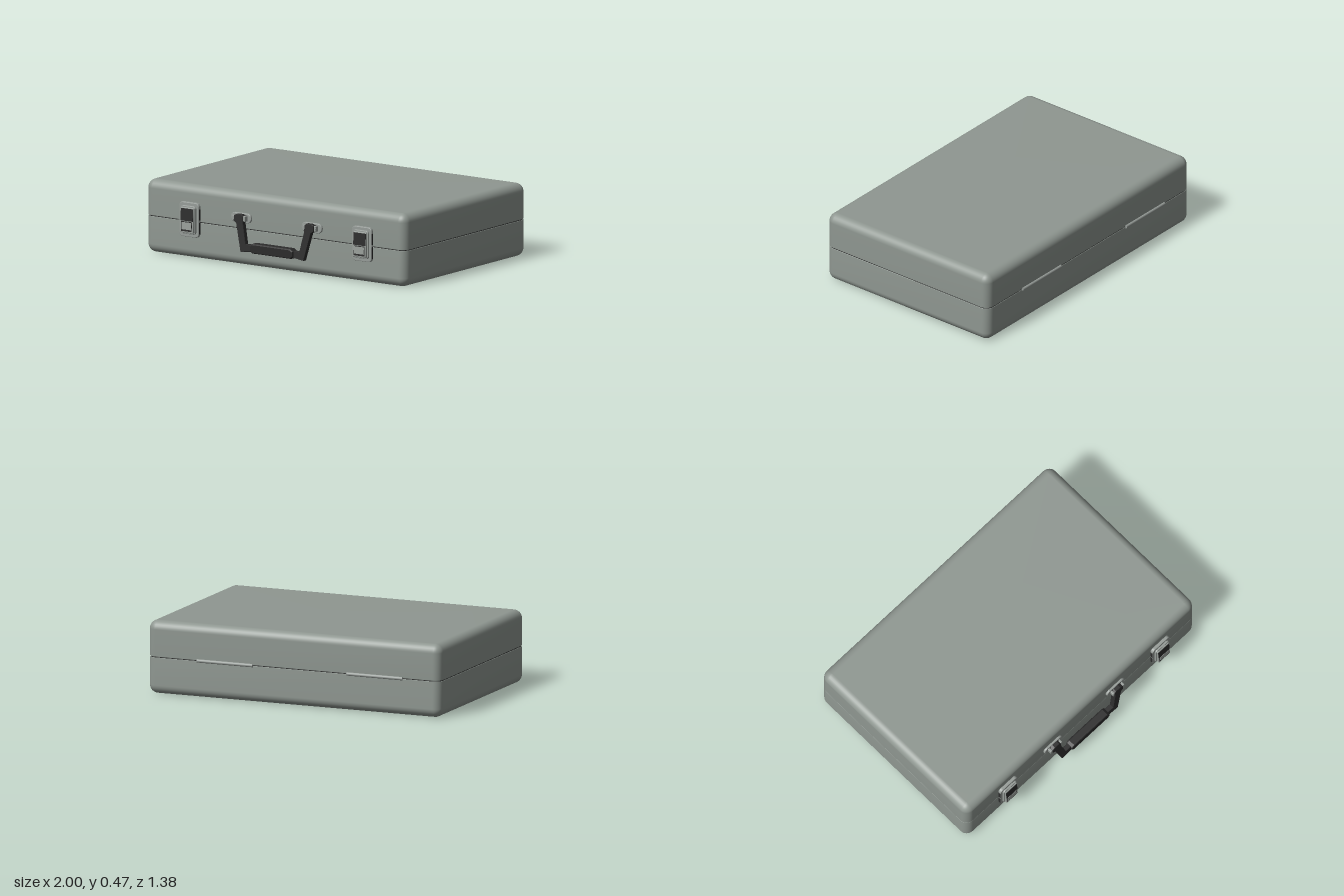
import * as THREE from 'three';
import { RoundedBoxGeometry } from 'three/addons/geometries/RoundedBoxGeometry.js';

const mat = (name, color) => {
  const m = new THREE.MeshStandardMaterial({ color });
  m.name = name;
  return m;
};

// Rounded rectangle outline centred on the origin
function roundedRect(w, h, r) {
  const s = new THREE.Shape();
  const x = w / 2 - r, y = h / 2 - r;
  s.absarc(x, y, r, 0, Math.PI / 2);
  s.absarc(-x, y, r, Math.PI / 2, Math.PI);
  s.absarc(-x, -y, r, Math.PI, Math.PI * 1.5);
  s.absarc(x, -y, r, Math.PI * 1.5, Math.PI * 2);
  s.closePath();
  return s;
}

// Plate with a softened front edge, back at z = 0
function plateGeometry(w, h, r, depth) {
  const b = 0.004;
  const g = new THREE.ExtrudeGeometry(roundedRect(w - 2 * b, h - 2 * b, r - b), {
    depth: depth - 2 * b, bevelThickness: b, bevelSize: b, bevelSegments: 2, curveSegments: 8,
  });
  return g.translate(0, 0, b);
}

// Half case: open at y = 0, rounded at its top
function shellGeometry(w, d, h, r) {
  const steps = 8;
  const levels = [[0, 0.004], [0.003, 0]];
  for (let i = 0; i <= steps; i++) {
    const a = (i / steps) * Math.PI / 2;
    levels.push([h - r + r * Math.sin(a), r - r * Math.cos(a)]);
  }
  const pos = [], idx = [], n = 4 * (steps + 1);
  for (const [y, inset] of levels) {
    for (let c = 0; c < 4; c++) {
      const sx = c === 0 || c === 3 ? 1 : -1, sz = c < 2 ? 1 : -1;
      for (let k = 0; k <= steps; k++) {
        const a = (c + k / steps) * Math.PI / 2;
        pos.push(sx * (w / 2 - r) + (r - inset) * Math.cos(a), y, sz * (d / 2 - r) + (r - inset) * Math.sin(a));
      }
    }
  }
  for (let j = 0; j < levels.length - 1; j++) {
    for (let i = 0; i < n; i++) {
      const a = j * n + i, b = j * n + (i + 1) % n;
      idx.push(a, a + n, b, b, a + n, b + n);
    }
  }
  const last = (levels.length - 1) * n, centre = pos.length / 3;
  pos.push(0, h, 0);
  for (let i = 0; i < n; i++) idx.push(centre, last + (i + 1) % n, last + i);
  const g = new THREE.BufferGeometry();
  g.setAttribute('position', new THREE.Float32BufferAttribute(pos, 3));
  g.setIndex(idx);
  g.computeVertexNormals();
  return g;
}

export function createModel() {
  const caseGrey = mat('caseGrey', 0x8f9791);
  const metal = mat('metalGrey', 0x979d99);
  const black = mat('black', 0x2b2b2b);
  const root = new THREE.Group();
  root.name = 'briefcase';

  const add = (parent, name, geo, material, x = 0, y = 0, z = 0) => {
    const m = new THREE.Mesh(geo, material);
    m.name = name;
    m.position.set(x, y, z);
    parent.add(m);
    return m;
  };
  const group = (name, x, y, z) => {
    const g = new THREE.Group();
    g.name = name;
    g.position.set(x, y, z);
    root.add(g);
    return g;
  };
  const box = (w, h, d) => new THREE.BoxGeometry(w, h, d);

  // Case halves with a dark seam between them
  const seam = 0.235, front = 0.62, midZ = -0.03;
  const shell = shellGeometry(2, 1.3, 0.228, 0.055);
  add(root, 'lid', shell, caseGrey, 0, seam + 0.002, midZ);
  add(root, 'base', shell.clone().rotateZ(Math.PI), caseGrey, 0, seam - 0.002, midZ).scale.y = 0.233 / 0.228;
  add(root, 'seam', new RoundedBoxGeometry(1.985, 0.1, 1.285, 4, 0.045), black, 0, seam, midZ);

  // Hinge pins on the back
  for (const [name, x] of [['rightHinge', -0.554], ['leftHinge', 0.468]]) {
    add(root, name, new THREE.CylinderGeometry(0.011, 0.011, 0.38, 16).rotateZ(Math.PI / 2), metal, x, seam, -0.679);
  }

  // Latches: backplate, raised frame and tilted lever
  for (const [name, x] of [['rightLatch', -0.647], ['leftLatch', 0.682]]) {
    const g = group(name, x, 0.248, front - 0.002);
    add(g, 'backplate', plateGeometry(0.15, 0.22, 0.025, 0.022), metal);
    add(g, 'raisedFrame', plateGeometry(0.115, 0.18, 0.018, 0.034), metal);
    for (const s of [-1, 1]) {
      add(g, 'upperSideInset', box(0.004, 0.07, 0.014), black, s * 0.074, 0.037, 0.012);
      add(g, 'lowerSideInset', box(0.004, 0.075, 0.014), black, s * 0.074, -0.05, 0.012);
    }
    const lever = new THREE.Group();
    lever.name = 'lever';
    lever.position.set(0, 0, 0.036);
    lever.rotation.x = -0.06;
    g.add(lever);
    add(lever, 'leverBody', new RoundedBoxGeometry(0.1, 0.16, 0.02, 2, 0.005), metal);
    add(lever, 'upperInlay', box(0.094, 0.078, 0.005), black, 0, 0.034, 0.009);
    add(lever, 'lowerInlay', box(0.082, 0.062, 0.004), black, 0, -0.04, 0.009);
    add(lever, 'thumbTab', box(0.074, 0.046, 0.006), metal, 0, -0.037, 0.01);
  }

  // Handle mounts: oval plate with two lugs and a pin
  const handleX = 0.02;
  for (const s of [-1, 1]) {
    const g = group(s < 0 ? 'rightHandleMount' : 'leftHandleMount', handleX + s * 0.272, 0.305, front - 0.002);
    add(g, 'ovalPlate', plateGeometry(0.155, 0.062, 0.03, 0.016), metal);
    add(g, 'dark recess', plateGeometry(0.1, 0.044, 0.02, 0.02), black);
    for (const e of [-1, 1]) {
      add(g, 'lug', new RoundedBoxGeometry(0.016, 0.036, 0.032, 2, 0.004), metal, e * 0.042, 0, 0.026);
    }
    add(g, 'pin', new THREE.CylinderGeometry(0.007, 0.007, 0.1, 12).rotateZ(Math.PI / 2), metal, 0, 0, 0.034);
  }

  // Handle bail: a U outline whose arms lean back towards the case
  const half = [[0.285, 0.33], [0.304, 0.322], [0.306, 0.29], [0.285, 0.275], [0.241, 0.1]];
  const inner = [[0.15, 0.112], [0.15, 0.148], [0.208, 0.148], [0.236, 0.275], [0.238, 0.32], [0.25, 0.33]];
  const flip = (pts) => pts.map(([x, y]) => [-x, y]).reverse();
  const outline = [...half, ...inner.slice(0, 1), ...flip(inner.slice(0, 1)), ...flip(half),
    ...flip(inner.slice(1)), ...inner.slice(1)];
  const bail = new THREE.ExtrudeGeometry(new THREE.Shape(outline.map(([x, y]) => new THREE.Vector2(x, y))), {
    depth: 0.026, bevelThickness: 0.003, bevelSize: 0.002, bevelSegments: 1,
  });
  const p = bail.attributes.position;
  for (let i = 0; i < p.count; i++) p.setZ(i, p.getZ(i) + 0.652 - (p.getY(i) - 0.1) * 0.09);
  bail.computeVertexNormals();
  const handle = group('handle', handleX, 0, 0);
  add(handle, 'bail', bail, black);

  // Thick grip with tapered ends
  const gripShape = new THREE.Shape([[-0.165, 0.115], [-0.15, 0.1], [0.15, 0.1], [0.165, 0.115],
    [0.165, 0.148], [0.145, 0.163], [-0.145, 0.163], [-0.165, 0.148]].map(([x, y]) => new THREE.Vector2(x, y)));
  const grip = new THREE.ExtrudeGeometry(gripShape, {
    depth: 0.036, bevelThickness: 0.01, bevelSize: 0.008, bevelOffset: -0.008, bevelSegments: 3,
  });
  add(handle, 'grip', grip, black, 0, 0, 0.644);
  return root;
}
